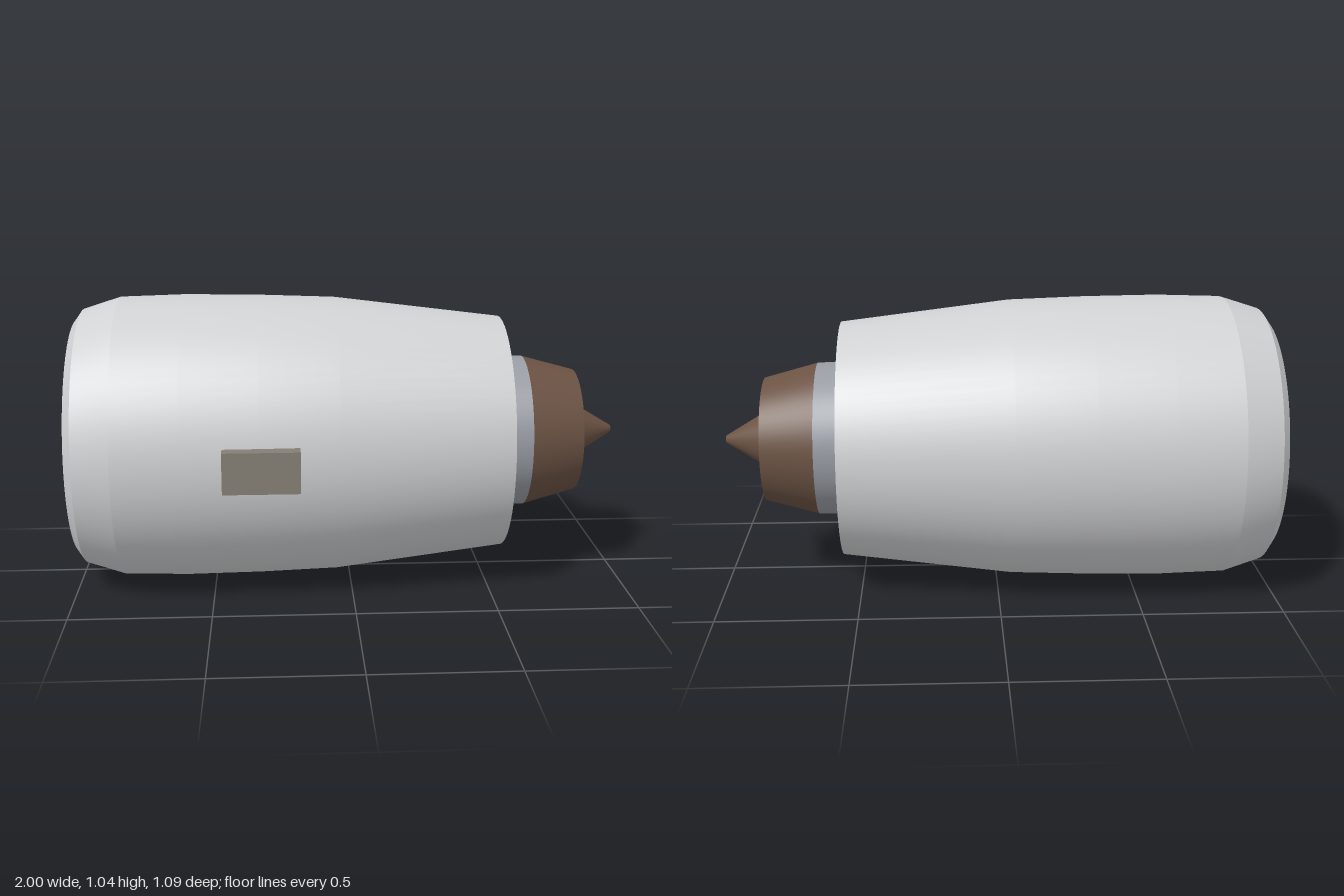
import * as THREE from 'three';
import { toCreasedNormals } from 'three/addons/utils/BufferGeometryUtils.js';

const AXIS_Y = 0.523, AXIS_Z = -0.022;

function material(name, color, side = THREE.DoubleSide) {
  const m = new THREE.MeshStandardMaterial({ color, side });
  m.name = name;
  return m;
}

// Surface of revolution about the x axis; profile is a list of [x, radius]
function revolve(name, profile, mat) {
  const points = profile.map(([x, r]) => new THREE.Vector2(r, x));
  const geo = new THREE.LatheGeometry(points, 72).rotateZ(-Math.PI / 2);
  const mesh = new THREE.Mesh(toCreasedNormals(geo, 0.2), mat);
  mesh.name = name;
  return mesh;
}

// One twisted blade standing along +y, its chord turning with radius
function bladeGeometry(inner, outer, count) {
  const geo = new THREE.PlaneGeometry(1, 1, 2, 6);
  const pos = geo.attributes.position;
  for (let i = 0; i < pos.count; i++) {
    const chord = pos.getX(i), t = pos.getY(i) + 0.5;
    const r = inner + (outer - inner) * t;
    const angle = chord * (Math.PI * 2 / count) * 1.12;
    const depth = chord * (0.15 - 0.06 * t);
    pos.setXYZ(i, depth, r * Math.cos(angle), r * Math.sin(angle));
  }
  geo.computeVertexNormals();
  return geo;
}

export function createModel() {
  const shellGrey = material('light grey shell', 0xd0d1d3);
  const coreGrey = material('core grey', 0x989ca3);
  const bladeGrey = material('blade grey', 0xa6a7ab);
  const brown = material('burnt brown metal', 0x6c5344);
  const taupe = material('taupe', 0x857e75);

  const model = new THREE.Group();
  model.name = 'jetEngine';
  const engine = new THREE.Group();
  engine.name = 'engineBody';
  engine.position.set(0, AXIS_Y, AXIS_Z);
  model.add(engine);

  // Outer cowl and the bore inside it
  engine.add(revolve('outerCowl', [
    [-1, 0.43], [-0.97, 0.472], [-0.835, 0.515], [-0.6, 0.522],
    [-0.33, 0.518], [-0.05, 0.508], [0.565, 0.432],
  ], shellGrey));
  engine.add(revolve('innerBore', [
    [0.565, 0.432], [0.3, 0.427], [-0.6, 0.427], [-0.85, 0.422], [-0.97, 0.415], [-1, 0.43],
  ], shellGrey));

  // Fan with overlapping blades, hub and short spinner
  const fan = new THREE.Group();
  fan.name = 'fan';
  fan.position.x = -0.54;
  const count = 25, geo = bladeGeometry(0.11, 0.426, count);
  for (let i = 0; i < count; i++) {
    const blade = new THREE.Mesh(geo, bladeGrey);
    blade.name = 'fanBlade';
    blade.rotation.x = (i / count) * Math.PI * 2;
    fan.add(blade);
  }
  fan.add(revolve('spinner', [[-0.2, 0], [-0.17, 0.04], [-0.08, 0.11], [0.08, 0.13]], coreGrey));
  engine.add(fan);

  // Core casing, exhaust nozzle, recessed ring and tail plug
  engine.add(revolve('coreCasing', [
    [-0.46, 0], [-0.46, 0.25], [-0.3, 0.29], [0.3, 0.29], [0.565, 0.283], [0.655, 0.281],
  ], coreGrey));
  engine.add(revolve('exhaustNozzle', [[0.655, 0.281], [0.85, 0.228]], brown));
  engine.add(revolve('nozzleLining', [[0.85, 0.228], [0.847, 0.222], [0.65, 0.232]], brown));
  engine.add(revolve('exhaustRing', [[0.66, 0.235], [0.66, 0.15]], taupe));
  engine.add(revolve('tailPlug', [
    [0.655, 0.17], [0.74, 0.165], [0.795, 0.136], [0.995, 0.016], [1, 0.012], [1, 0],
  ], brown));

  // Equipment box on the side of the cowl
  const box = new THREE.Mesh(new THREE.BoxGeometry(0.266, 0.145, 0.11), taupe);
  box.name = 'sideBox';
  box.position.set(-0.322, 0.526, 0.488);
  model.add(box);

  return model;
}
